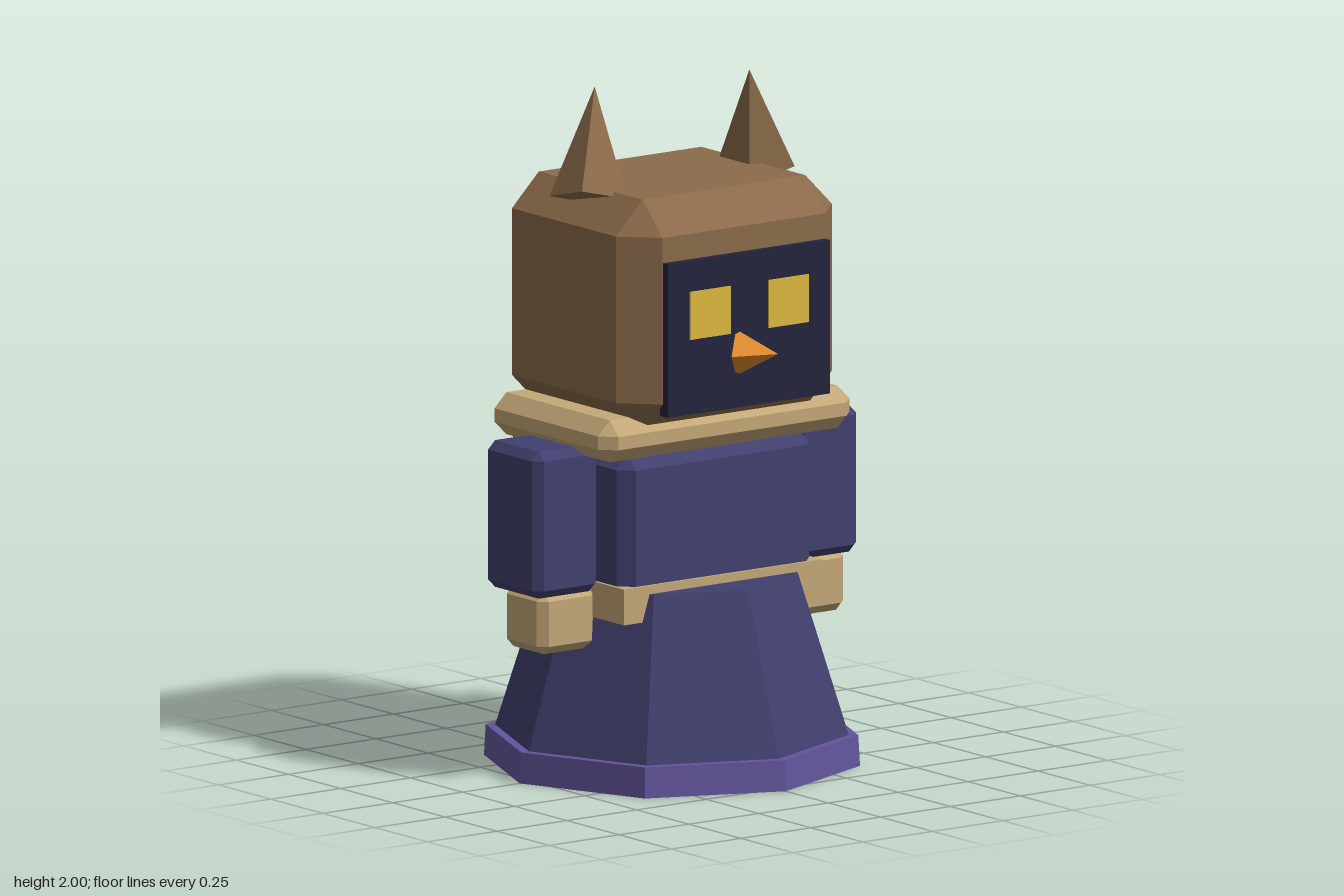
import * as THREE from 'three';
import { ConvexGeometry } from 'three/addons/geometries/ConvexGeometry.js';

const mat = (name, color) => {
  const m = new THREE.MeshStandardMaterial({ color, flatShading: true });
  m.name = name;
  return m;
};

// Box with flat chamfered edges and corners, given by its extents
function chamferBox([x0, x1], [y0, y1], [z0, z1], b) {
  const h = [(x1 - x0) / 2, (y1 - y0) / 2, (z1 - z0) / 2];
  const points = [];
  for (const sx of [-1, 1]) for (const sy of [-1, 1]) for (const sz of [-1, 1]) {
    for (let axis = 0; axis < 3; axis++) {
      const p = h.map((v, i) => (i === axis ? v : v - b));
      points.push(new THREE.Vector3(p[0] * sx, p[1] * sy, p[2] * sz));
    }
  }
  return new ConvexGeometry(points).translate((x0 + x1) / 2, (y0 + y1) / 2, (z0 + z1) / 2);
}

function box([x0, x1], [y0, y1], [z0, z1]) {
  return new THREE.BoxGeometry(x1 - x0, y1 - y0, z1 - z0)
    .translate((x0 + x1) / 2, (y0 + y1) / 2, (z0 + z1) / 2);
}

export function createModel() {
  const model = new THREE.Group();
  model.name = 'owlFigure';

  const navy = mat('navy cloth', 0x41406f);
  const purple = mat('purple trim', 0x63559c);
  const brown = mat('brown feathers', 0x8b6b4a);
  const tan = mat('tan trim', 0xc4a878);
  const dark = mat('dark face', 0x24243c);
  const yellow = mat('yellow eyes', 0xdcb940);
  const orange = mat('orange beak', 0xe08a2e);

  const add = (name, geometry, material) => {
    const mesh = new THREE.Mesh(geometry, material);
    mesh.name = name;
    model.add(mesh);
    return mesh;
  };

  // Eight-sided robe and its hem
  add('hem', new THREE.CylinderGeometry(0.54, 0.545, 0.09, 8).translate(0, 0.045, 0), purple);
  add('robe', new THREE.CylinderGeometry(0.365, 0.525, 0.51, 8).translate(0, 0.305, 0), navy);

  // Body
  add('belt', box([-0.355, 0.355], [0.48, 0.585], [-0.245, 0.245]), tan);
  add('torso', chamferBox([-0.345, 0.345], [0.53, 0.965], [-0.235, 0.235], 0.04), navy);
  add('collar', chamferBox([-0.45, 0.45], [0.965, 1.088], [-0.29, 0.29], 0.042), tan);
  add('cape', box([-0.33, 0.33], [0.54, 1.01], [-0.32, -0.235]), brown);

  // Arms and hands
  for (const [side, s] of [['left', 1], ['right', -1]]) {
    const span = (a, b) => (s > 0 ? [a, b] : [-b, -a]);
    add(side + 'Arm', chamferBox(span(0.35, 0.58), [0.56, 0.99], [-0.13, 0.13], 0.025), navy);
    add(side + 'Hand', chamferBox(span(0.345, 0.548), [0.39, 0.572], [-0.083, 0.11], 0.025), tan);
  }

  // Head with face plate and eyes
  add('head', chamferBox([-0.387, 0.387], [1.04, 1.72], [-0.345, 0.345], 0.096), brown);
  add('face', box([-0.29, 0.29], [1.1, 1.55], [0.33, 0.368]), dark);
  for (const [side, s] of [['left', 1], ['right', -1]]) {
    add(side + 'Eye', box([s * 0.14 - 0.072, s * 0.14 + 0.072], [1.32, 1.46], [0.366, 0.373]), yellow);
  }

  // Beak turned to one side
  const beak = add('beak', new THREE.ConeGeometry(0.068, 0.123, 4).rotateX(Math.PI / 2), orange);
  beak.rotation.y = 0.74;
  beak.position.set(0.002, 1.26, 0.405);

  // Ears lean inward, one a half turn of the other
  for (const [side, s] of [['left', 1], ['right', -1]]) {
    const ear = add(side + 'Ear',
      new THREE.ConeGeometry(0.113, 0.322, 4).translate(0, 0.161, 0).rotateX(0.352), brown);
    ear.rotation.y = -0.81 + (s > 0 ? 0 : Math.PI);
    ear.position.set(s * 0.33, 1.697, s * -0.04);
  }

  return model;
}
